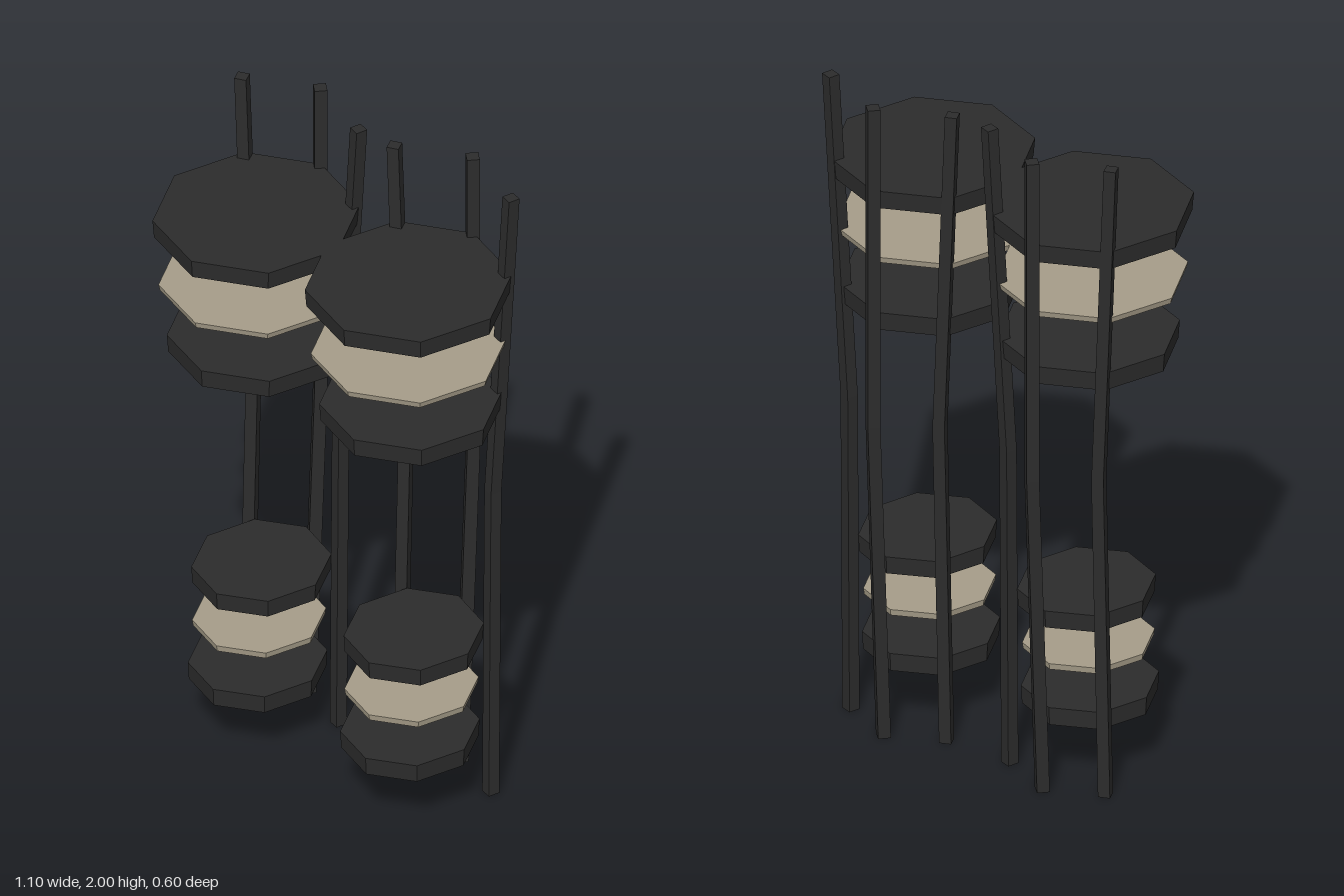
import * as THREE from 'three';

const dark = new THREE.MeshStandardMaterial({ color: 0x2c2c2c, flatShading: true });
dark.name = 'charcoal';
const beige = new THREE.MeshStandardMaterial({ color: 0xa69d89, flatShading: true });
beige.name = 'beige';

// Octagonal plates: name, bottom, top, radius in x, radius in z, centre z, material
const plates = [
  ['upperTopPad', 1.685, 1.74, 0.284, 0.289, 0.011, dark],
  ['upperBand', 1.505, 1.523, 0.268, 0.272, 0.011, beige],
  ['upperBottomPad', 1.291, 1.346, 0.251, 0.256, 0.0, dark],
  ['lowerTopPad', 0.503, 0.556, 0.188, 0.2, -0.012, dark],
  ['lowerBand', 0.362, 0.381, 0.181, 0.19, -0.002, beige],
  ['lowerBottomPad', 0.188, 0.243, 0.188, 0.198, 0.005, dark],
];

function plate([name, y0, y1, rx, rz, z, material]) {
  const geo = new THREE.CylinderGeometry(1, 0.985, y1 - y0, 8);
  geo.scale(rx, 1, rz);
  const mesh = new THREE.Mesh(geo, material);
  mesh.name = name;
  mesh.position.set(0, (y0 + y1) / 2, z);
  return mesh;
}

// Square rod bent at mid height; path gives [x, z] at y = 0, 1 and 2
function rod(name, path, radius, turn) {
  const geo = new THREE.CylinderGeometry(radius, radius, 2, 4, 2);
  geo.rotateY(turn);
  geo.translate(0, 1, 0);
  const p = geo.attributes.position;
  for (let i = 0; i < p.count; i++) {
    const [x, z] = path[Math.round(p.getY(i))];
    p.setX(i, p.getX(i) + x);
    p.setZ(i, p.getZ(i) + z);
  }
  geo.computeVertexNormals();
  const mesh = new THREE.Mesh(geo, dark);
  mesh.name = name;
  return mesh;
}

function leg(name, x) {
  const group = new THREE.Group();
  group.name = name;
  group.position.x = x;
  plates.forEach((p) => group.add(plate(p)));
  group.add(rod('backRod', [[0, -0.225], [0, -0.275], [0, -0.275]], 0.025, 0));
  // Pair of side rods that spread apart above the bend
  for (const s of [-1, 1]) {
    const path = [[s * 0.159, -0.151], [s * 0.151, -0.171], [s * 0.202, -0.186]];
    group.add(rod(s < 0 ? 'rightSideRod' : 'leftSideRod', path, 0.024, -s * 1.13));
  }
  return group;
}

export function createModel() {
  const model = new THREE.Group();
  model.name = 'legFrames';
  model.add(leg('rightLeg', -0.264), leg('leftLeg', 0.264));
  return model;
}
